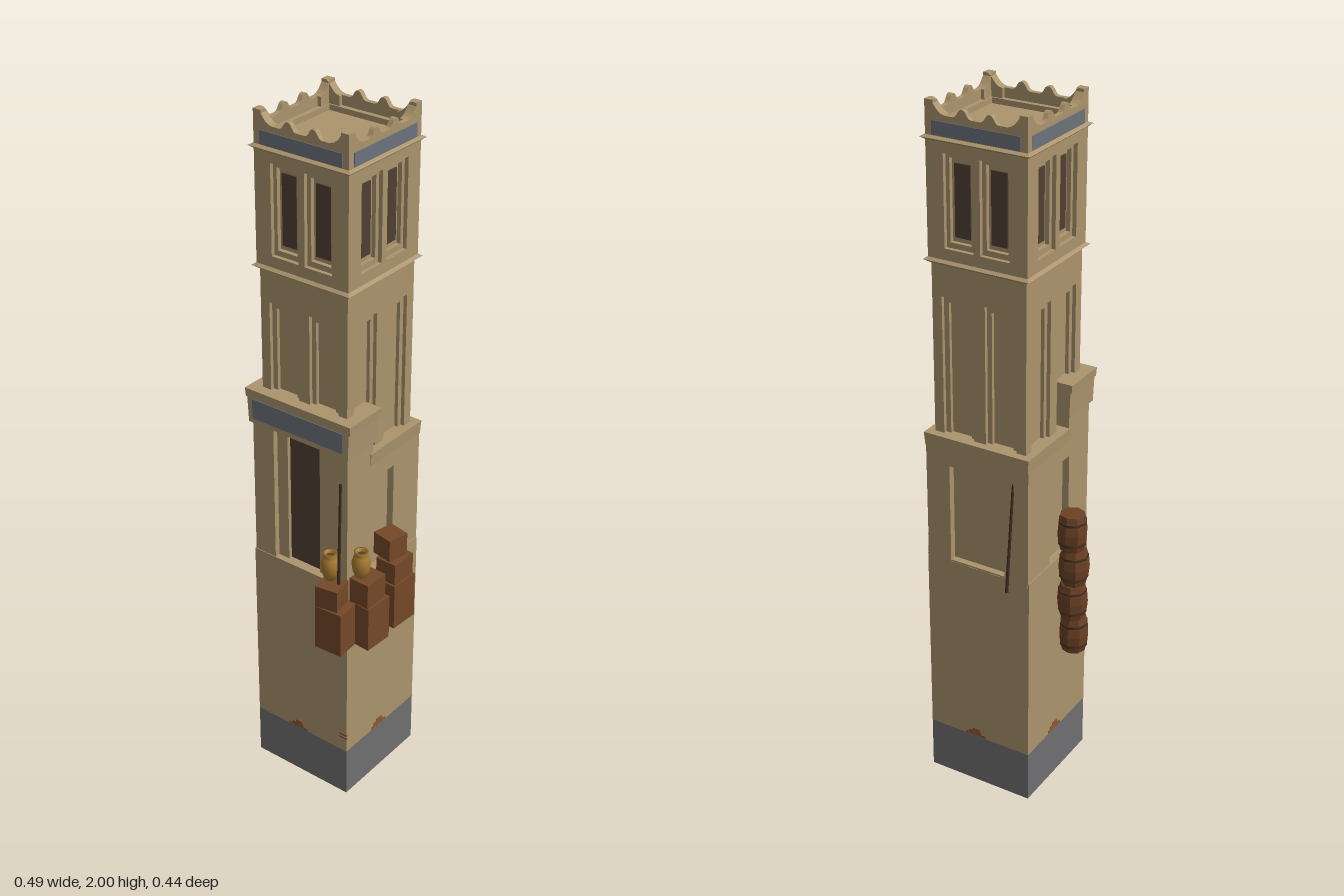
import * as THREE from 'three';

const mat = (name, color) => {
  const m = new THREE.MeshStandardMaterial({ color });
  m.name = name;
  return m;
};

export function createModel() {
  const stone = mat('sandstone', 0xab946d), grey = mat('greyStone', 0x6f6f71), slate = mat('slatePanel', 0x6d727b);
  const dark = mat('darkLattice', 0x503f33), wood = mat('crateWood', 0x754828), barrelWood = mat('barrelWood', 0x6a4024);
  const iron = mat('barrelHoop', 0x46301f), clay = mat('potClay', 0xa97a30), pole = mat('poleWood', 0x3a2b21);
  const brick = mat('exposedBrick', 0x8a5a32);

  const model = new THREE.Group();
  model.name = 'tower';
  const tower = new THREE.Group();
  tower.name = 'masonry';
  tower.position.set(0.0035, 0, -0.0175);
  model.add(tower);

  const add = (parent, name, geo, material, x = 0, y = 0, z = 0) => {
    const m = new THREE.Mesh(geo, material);
    m.name = name;
    m.position.set(x, y, z);
    parent.add(m);
    return m;
  };
  // box given by its limits
  const block = (parent, name, material, x0, x1, y0, y1, z0, z1) =>
    add(parent, name, new THREE.BoxGeometry(x1 - x0, y1 - y0, z1 - z0), material, (x0 + x1) / 2, (y0 + y1) / 2, (z0 + z1) / 2);
  // four-sided slab whose half-width changes from bottom to top
  const flare = (name, b, t, y0, y1, zScale = 1, z = 0) => {
    let g = new THREE.CylinderGeometry(t * Math.SQRT2, b * Math.SQRT2, y1 - y0, 4).rotateY(Math.PI / 4).scale(1, 1, zScale).toNonIndexed();
    g.computeVertexNormals();
    return add(tower, name, g, stone, 0, (y0 + y1) / 2, z);
  };
  // group turned to one of the four sides: 0 front, 1 left, 2 back, 3 right
  const side = (name, i) => {
    const g = new THREE.Group();
    g.name = name;
    g.rotation.y = i * Math.PI / 2;
    tower.add(g);
    return g;
  };
  // wall layer with rectangular openings [x0, x1, y0, y1]
  const wall = (parent, name, half, y0, y1, holes, depth, front) => {
    const rect = (P, a, b, c, d) => new P([[a, c], [b, c], [b, d], [a, d]].map(p => new THREE.Vector2(...p)));
    const s = rect(THREE.Shape, -half, half, y0, y1);
    for (const h of holes) s.holes.push(rect(THREE.Path, ...h));
    add(parent, name, new THREE.ExtrudeGeometry(s, { depth, bevelEnabled: false }), stone, 0, 0, front - depth);
  };
  const pair = (a, b, y0, y1) => [[-b, -a, y0, y1], [a, b, y0, y1]];

  // plinth and plain lower shaft
  add(tower, 'plinth', new THREE.BoxGeometry(0.322, 0.155, 0.32), [grey, grey, stone, stone, grey, grey], 0, 0.0775, 0.003);
  block(tower, 'lowerShaft', stone, -0.161, 0.161, 0.155, 0.725, -0.157, 0.163);

  // patches of bare brick
  for (let i = 0; i < 4; i++) {
    const s = side('brickPatch', i), f = [0.163, 0.161, 0.157, 0.161][i];
    for (const [x, y, w] of [[-0.012, 0.162, 0.065], [-0.014, 0.17, 0.04], [-0.01, 0.178, 0.024]])
      block(s, 'bareBrick', brick, x - w / 2, x + w / 2, y - 0.004, y + 0.004, f - 0.003, f + 0.002);
    if (i === 0) for (const y of [0.203, 0.214]) block(s, 'bareBrick', brick, 0.138, 0.162, y - 0.003, y + 0.003, f - 0.003, f + 0.002);
  }

  // middle storey: recessed panel on every side, door at the front
  block(tower, 'middleCore', stone, -0.138, 0.138, 0.7, 1.08, -0.138, 0.13);
  for (let i = 0; i < 4; i++) {
    const s = side('middleWall', i);
    if (i === 0) {
      wall(s, 'doorSurround', 0.158, 0.71, 1.16, [[-0.089, 0.089, 0.72, 1.14]], 0.016, 0.161);
      wall(s, 'doorFrame', 0.15, 0.71, 1.16, [[-0.054, 0.054, 0.72, 1.115]], 0.015, 0.145);
      block(s, 'doorLattice', dark, -0.054, 0.054, 0.725, 1.115, 0.128, 0.134);
    } else {
      const hole = i === 2 ? [-0.085, 0.085, 0.72, 1.015] : i === 1 ? [-0.057, 0.043, 0.72, 1.015] : [-0.043, 0.057, 0.72, 1.015];
      wall(s, 'panelWall', 0.158, 0.71, 1.07, [hole], 0.02, 0.158);
    }
  }
  for (const x of [-0.125, 0.125]) block(tower, 'porchPier', stone, x - 0.033, x + 0.033, 1.04, 1.15, 0.053, 0.159);
  flare('middleCornice', 0.158, 0.161, 1.06, 1.1, 0.7, -0.05);

  // balcony over the door
  flare('balcony', 0.165, 0.168, 1.135, 1.21, 0.39, 0.105);
  flare('balconyRim', 0.172, 0.174, 1.21, 1.235, 0.385, 0.105);
  block(tower, 'balconyPanel', slate, -0.15, 0.15, 1.15, 1.208, 0.165, 0.1725);

  // upper shaft with paired stepped niches
  block(tower, 'upperShaftCore', stone, -0.119, 0.119, 1.06, 1.59, -0.119, 0.119);
  for (let i = 0; i < 4; i++) {
    const s = side('upperShaftWall', i), y = i ? 1.05 : 1.15;
    wall(s, 'nicheWall', 0.1395, y, 1.59, pair(0.018, 0.111, y + 0.01, 1.49), 0.011, 0.1395);
    wall(s, 'nicheFrame', 0.129, y, 1.59, pair(0.032, 0.096, y + 0.01, 1.473), 0.01, 0.129);
  }

  // belfry with paired lattice windows
  flare('belfryFoot', 0.142, 0.155, 1.578, 1.588);
  flare('belfryFootTop', 0.155, 0.146, 1.588, 1.594);
  block(tower, 'belfryCore', stone, -0.12, 0.12, 1.585, 1.905, -0.12, 0.12);
  for (let i = 0; i < 4; i++) {
    const s = side('belfryWall', i);
    wall(s, 'windowWall', 0.1455, 1.588, 1.905, pair(0.01, 0.095, 1.625, 1.872), 0.012, 0.1455);
    wall(s, 'windowFrame', 0.134, 1.588, 1.905, pair(0.022, 0.084, 1.64, 1.86), 0.012, 0.134);
    for (const x of [-0.053, 0.053]) block(s, 'windowLattice', dark, x - 0.023, x + 0.023, 1.652, 1.845, 0.119, 0.125);
  }
  flare('belfryCornice', 0.147, 0.156, 1.9, 1.907);
  flare('belfryCorniceTop', 0.156, 0.146, 1.907, 1.912);

  // roof and scalloped parapet
  block(tower, 'roofStep', stone, -0.131, 0.131, 1.905, 1.925, -0.131, 0.131);
  for (let i = 0; i < 4; i++) {
    const s = side('parapet', i);
    block(s, 'roofLedge', stone, -0.131, 0.131, 1.92, 1.94, 0.117, 0.131);
    block(s, 'parapetPanel', slate, -0.126, 0.126, 1.914, 1.95, 0.143, 0.1475);
    const p = new THREE.Shape();
    p.moveTo(-0.1455, 1.905).lineTo(0.1455, 1.905).lineTo(0.1455, 1.966);
    for (const c of [0.039, -0.039]) {
      p.lineTo(c + 0.025, 1.966);
      p.bezierCurveTo(c + 0.012, 1.968, c + 0.013, 1.988, c, 1.988);
      p.bezierCurveTo(c - 0.013, 1.988, c - 0.012, 1.968, c - 0.025, 1.966);
    }
    p.lineTo(-0.1455, 1.966);
    add(s, 'scallopedWall', new THREE.ExtrudeGeometry(p, { depth: 0.014, bevelEnabled: false, curveSegments: 6 }), stone, 0, 0, 0.1315);
    for (const k of [-1, 1]) {
      const c = new THREE.Shape();
      c.moveTo(k * 0.1455, 1.94).lineTo(k * 0.1455, 2).lineTo(k * 0.131, 2);
      c.bezierCurveTo(k * 0.118, 1.995, k * 0.112, 1.968, k * 0.088, 1.966);
      c.lineTo(k * 0.088, 1.94);
      add(s, 'cornerHorn', new THREE.ExtrudeGeometry(c, { depth: 0.024, bevelEnabled: false, curveSegments: 6 }), stone, 0, 0, 0.1215);
    }
  }

  // stacked crates: x, z, bottom, top, width, depth, turn
  for (const [x, z, y0, y1, w, d, r] of [
    [0.152, 0.183, 0.555, 0.69, 0.084, 0.07, 0.06], [0.14, 0.182, 0.69, 0.755, 0.066, 0.066, 0.17],
    [0.206, 0.103, 0.555, 0.69, 0.07, 0.088, -0.06], [0.203, 0.107, 0.69, 0.765, 0.062, 0.076, -0.03],
    [0.204, -0.015, 0.56, 0.7, 0.074, 0.088, -0.06], [0.203, -0.016, 0.7, 0.765, 0.064, 0.08, -0.03],
    [0.187, -0.017, 0.765, 0.832, 0.064, 0.064, -0.2]])
    add(model, 'crate', new THREE.BoxGeometry(w, y1 - y0, d), wood, x, (y0 + y1) / 2, z).rotation.y = r;

  // clay pots
  const potProfile = [[0, 0], [0.014, 0], [0.024, 0.025], [0.027, 0.048], [0.021, 0.068], [0.016, 0.074], [0.021, 0.083], [0.014, 0.083], [0.012, 0.072]];
  for (const [x, y, z] of [[0.122, 0.755, 0.166], [0.188, 0.76, 0.116]]) {
    add(model, 'pot', new THREE.LatheGeometry(potProfile.map(p => new THREE.Vector2(...p)), 10), clay, x, y, z);
    add(model, 'potHollow', new THREE.CircleGeometry(0.013, 10).rotateX(-Math.PI / 2), dark, x, y + 0.074, z);
  }

  // column of barrels
  const barrelProfile = [[0, 0], [0.034, 0], [0.041, 0.03], [0.043, 0.054], [0.041, 0.078], [0.034, 0.108], [0, 0.108]];
  [[-0.203, -0.004], [-0.199, -0.008], [-0.2, -0.004], [-0.194, -0.006]].forEach(([x, z], i) => {
    const b = new THREE.Group();
    b.name = 'barrel';
    b.position.set(x, 0.44 + i * 0.108, z);
    b.rotation.y = i * 0.25 + 0.1;
    model.add(b);
    const g = new THREE.LatheGeometry(barrelProfile.map(p => new THREE.Vector2(...p)), 8).toNonIndexed();
    g.computeVertexNormals();
    add(b, 'barrelStaves', g, barrelWood);
    for (const y of [0.022, 0.086]) add(b, 'barrelHoop', new THREE.CylinderGeometry(0.0405, 0.0405, 0.007, 8), iron, 0, y, 0);
  });

  // leaning poles
  for (const [a, b] of [[[0.14, 1.05, 0.145], [0.157, 0.73, 0.175]], [[-0.107, 1.02, -0.172], [-0.115, 0.71, -0.219]]]) {
    const p = new THREE.Vector3(...a), q = new THREE.Vector3(...b), dir = p.clone().sub(q);
    const m = add(model, 'leaningPole', new THREE.CylinderGeometry(0.0035, 0.0045, dir.length(), 6), pole);
    m.position.copy(p).add(q).multiplyScalar(0.5);
    m.quaternion.setFromUnitVectors(new THREE.Vector3(0, 1, 0), dir.normalize());
  }
  return model;
}
